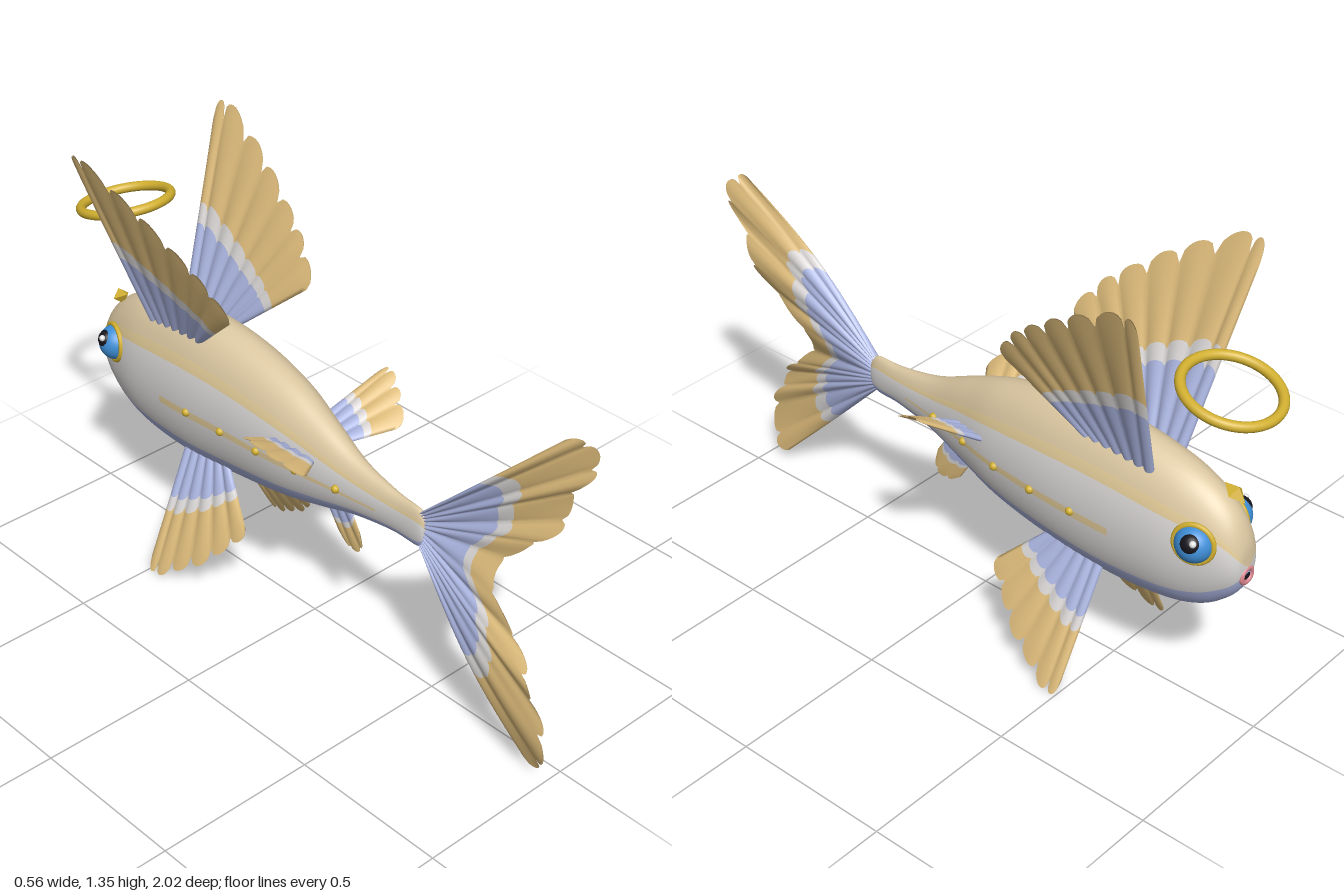
import * as THREE from 'three';

const mat = (name, color, side = THREE.FrontSide) => {
  const m = new THREE.MeshStandardMaterial({ color, side });
  m.name = name;
  return m;
};
const V = (x, y, z) => new THREE.Vector3(x, y, z);
const AXIS = 0.015; // the body's mirror plane lies slightly off x = 0

// Surface from rows of points; columns wrap round. pick(i, j) gives a material index.
function loft(rows, pick, materials) {
  const n = rows[0].length, lists = materials.map(() => []);
  for (let i = 0; i < rows.length - 1; i++) {
    for (let j = 0; j < n; j++) {
      const k = (j + 1) % n, a = i * n + j, b = i * n + k, c = b + n, d = a + n;
      lists[pick(i, j)].push(a, b, c, a, c, d);
    }
  }
  const geo = new THREE.BufferGeometry().setFromPoints(rows.flat());
  geo.setIndex(lists.flat());
  let start = 0;
  lists.forEach((l, m) => { geo.addGroup(start, l.length, m); start += l.length; });
  geo.computeVertexNormals();
  return new THREE.Mesh(geo, materials);
}

// Fan-shaped ribbed fin between a root edge and a scalloped tip line
function fin(name, root, tips, materials, { lobes, depth, bands, thick, bend = () => 0 }) {
  const tipLine = new THREE.CatmullRomCurve3(tips), cols = lobes * 8;
  const normal = root[1].clone().sub(root[0]).cross(tipLine.getPoint(0.5).sub(root[0])).normalize();
  const point = (c, k, side) => {
    const u = c / cols, f = (c % 8) / 8, [l, p] = bands(u);
    const r = k <= 4 ? l * k / 4 : k <= 6 ? l + (p - l) * (k - 4) / 2 : p + (1 - p) * (k - 6) / 6;
    const len = 1 - depth * (1 - Math.sqrt(1 - (2 * f - 1) ** 2));
    const q = root[0].clone().lerp(root[1], u);
    q.lerp(tipLine.getPoint(u), r * len);
    const edge = c === 0 || c === cols ? 0 : 1;
    const h = thick * edge * (0.25 + 0.75 * Math.sin(Math.PI * f)) * Math.sqrt(1 - r * r * 0.97);
    q.addScaledVector(normal, side * h);
    q.x += bend(u, r);
    return q;
  };
  const rows = [];
  for (let k = 0; k <= 12; k++) {
    const row = [];
    for (let c = 0; c <= cols; c++) row.push(point(c, k, 1));
    for (let c = cols - 1; c > 0; c--) row.push(point(c, k, -1));
    rows.push(row);
  }
  const mesh = loft(rows, (i) => (i < 4 ? 0 : i < 6 ? 1 : 2), materials);
  mesh.name = name;
  return mesh;
}

export function createModel() {
  const group = new THREE.Group();
  const cream = mat('cream back', 0xdcc8a2), pearl = mat('pearl', 0xdad7d6, THREE.DoubleSide);
  const lavender = mat('lavender', 0xabb5e0, THREE.DoubleSide);
  const sand = mat('sand fin', 0xdfbd7c, THREE.DoubleSide), pale = mat('pale gold', 0xe2cb98);
  const gold = mat('gold', 0xd2b030), blue = mat('eye blue', 0x3f8fd8);
  const black = mat('pupil black', 0x15151c), pink = mat('mouth pink', 0xe08a92), white = mat('white', 0xffffff);
  const finMats = [lavender, pearl, sand];

  const add = (name, geo, material, pos, parent = group) => {
    const m = new THREE.Mesh(geo, material);
    m.name = name;
    m.position.set(...pos);
    parent.add(m);
    return m;
  };

  // Body cross-sections: z, centre y, half height, centre x, half width
  const sections = [
    [-0.95, 0.54, 0.004, 0.012, 0.004], [-0.94, 0.548, 0.07, 0.012, 0.045], [-0.9, 0.558, 0.138, 0.013, 0.075],
    [-0.82, 0.56, 0.198, 0.015, 0.102], [-0.7, 0.565, 0.235, 0.015, 0.125], [-0.5, 0.575, 0.255, 0.015, 0.135],
    [-0.3, 0.58, 0.238, 0.015, 0.13], [-0.1, 0.574, 0.2, 0.008, 0.11], [0.05, 0.565, 0.15, -0.002, 0.08],
    [0.2, 0.555, 0.094, -0.01, 0.05], [0.35, 0.552, 0.066, -0.015, 0.03], [0.46, 0.55, 0.06, -0.02, 0.018],
    [0.48, 0.55, 0.004, -0.02, 0.002],
  ];
  const heights = new THREE.CatmullRomCurve3(sections.map((s) => V(s[1], s[2], s[0])), false, 'catmullrom');
  const widths = new THREE.CatmullRomCurve3(sections.map((s) => V(s[3], s[4], 0)), false, 'catmullrom');

  // Colour bands round the body: end angle, material index, steps
  const P = Math.PI, angles = [], colours = [];
  const bands = [
    [-0.16, 1, 6], [-0.06, 2, 1], [0.46, 1, 5], [0.62, 3, 2], [P - 0.62, 0, 16], [P - 0.46, 3, 2],
    [P + 0.06, 1, 5], [P + 0.16, 2, 1], [P + 0.67, 1, 6], [2 * P - 0.67, 4, 16],
  ];
  let from = -0.67;
  for (const [to, colour, steps] of bands) {
    for (let s = 0; s < steps; s++) {
      angles.push(from + (to - from) * s / steps);
      colours.push(colour);
    }
    from = to;
  }
  const rows = [];
  for (let i = 0; i <= 72; i++) {
    const h = heights.getPoint(i / 72), w = widths.getPoint(i / 72);
    rows.push(angles.map((a) => V(w.x + w.y * Math.cos(a), h.x + h.y * Math.sin(a), h.z)));
  }
  const body = loft(rows, (i, j) => {
    const z = rows[i][0].z;
    return colours[j] === 2 && (z < -0.6 || z > 0.28) ? 1 : colours[j];
  }, [cream, pearl, pale, pale, lavender]);
  body.name = 'body';
  group.add(body);

  // Paired fins, eyes and side studs
  for (const s of [1, -1]) {
    const side = s > 0 ? 'left' : 'right';
    const at = (list) => list.map(([x, y, z]) => V(AXIS + s * x, y, z));
    group.add(fin(side + 'WingFin', at([[0.07, 0.76, -0.675], [0.07, 0.775, -0.43]]),
      at([[0.275, 1.34, -0.75], [0.282, 1.355, -0.7], [0.262, 1.29, -0.56], [0.238, 1.22, -0.445],
        [0.21, 1.14, -0.335], [0.188, 1.075, -0.26], [0.155, 0.98, -0.19]]), finMats,
      { lobes: 7, depth: 0.09, thick: 0.012, bands: () => [0.4, 0.5] }));
    group.add(fin(side + 'BellyFin', at([[0.07, 0.385, -0.52], [0.065, 0.41, -0.33]]),
      at([[0.255, 0.005, -0.505], [0.258, 0.0, -0.46], [0.237, 0.045, -0.385], [0.21, 0.105, -0.295],
        [0.17, 0.185, -0.22], [0.142, 0.25, -0.16]]), finMats,
      { lobes: 6, depth: 0.1, thick: 0.01, bands: () => [0.42, 0.53] }));
    group.add(fin(side + 'SideFin', at([[0.085, 0.605, -0.09], [0.05, 0.595, 0.05]]),
      at([[0.275, 0.73, -0.02], [0.283, 0.74, 0.01], [0.265, 0.715, 0.055], [0.24, 0.685, 0.1],
        [0.195, 0.64, 0.155]]), finMats,
      { lobes: 4, depth: 0.12, thick: 0.009, bands: () => [0.38, 0.5] }));

    const eye = new THREE.Group();
    eye.name = side + 'Eye';
    eye.position.set(AXIS + s * 0.085, 0.612, -0.83);
    eye.lookAt(eye.position.clone().add(V(s, 0.1, -0.3)));
    add('eyeball', new THREE.SphereGeometry(0.056, 28, 20), blue, [0, 0, 0], eye);
    add('eyeRing', new THREE.TorusGeometry(0.057, 0.008, 10, 36), gold, [0, 0, 0.008], eye);
    add('pupil', new THREE.SphereGeometry(0.032, 20, 14), black, [0, 0.012, 0.03], eye).scale.z = 0.95;
    add('highlight', new THREE.SphereGeometry(0.01, 12, 8), white, [0.012, 0.026, 0.054], eye);
    group.add(eye);

    for (const [z, cx, rx] of [[0.16, -0.008, 0.06], [0.01, 0, 0.088], [-0.14, 0.01, 0.115],
      [-0.29, 0.015, 0.129], [-0.44, 0.015, 0.134]]) {
      add(side + 'Stud', new THREE.SphereGeometry(0.013, 12, 8), gold, [cx + s * rx, 0.555, z]);
    }
  }

  // Small fin under the rear of the body
  group.add(fin('analFin', [V(0.005, 0.45, 0.03), V(-0.005, 0.47, 0.15)],
    [V(0.005, 0.34, 0.1), V(0, 0.31, 0.16), V(0, 0.325, 0.2), V(-0.005, 0.39, 0.2)], finMats,
    { lobes: 3, depth: 0.08, thick: 0.007, bands: () => [0.45, 0.55] }));

  // Forked tail, swept sideways in a soft S
  const tailTips = [[1.07, 0.94], [1.06, 0.99], [0.98, 1.01], [0.87, 0.94], [0.76, 0.92], [0.66, 0.82], [0.55, 0.74],
    [0.44, 0.82], [0.35, 0.92], [0.28, 0.95], [0.18, 1.01], [0.06, 1.0], [0.015, 0.94]];
  group.add(fin('tailFin', [V(-0.02, 0.605, 0.455), V(-0.02, 0.495, 0.455)],
    tailTips.map(([y, z]) => V(-0.02, y, z)), finMats, {
      lobes: 13, depth: 0.05, thick: 0.009,
      bands: (u) => { const c = 1 - Math.abs(1 - 2 * u); return [0.47 + 0.15 * c, 0.57 + 0.15 * c]; },
      bend: (u, r) => {
        const a = 1 - 2 * u;
        return 0.07 * r * Math.sin(a * P * 0.8) - 0.03 * Math.sin(P * r) * a * a + 0.007 * r * Math.sin(a * 19);
      },
    }));

  // Mouth, forehead gem and halo
  add('lips', new THREE.TorusGeometry(0.022, 0.009, 10, 28), pink, [0.012, 0.512, -0.943]);
  add('mouth', new THREE.SphereGeometry(0.019, 16, 10), black, [0.012, 0.512, -0.94]).scale.z = 0.5;
  const gem = add('foreheadGem', new THREE.OctahedronGeometry(0.036), gold, [-0.012, 0.735, -0.872]);
  gem.scale.set(0.8, 0.7, 1.1);
  gem.rotation.x = -0.5;
  const halo = add('halo', new THREE.TorusGeometry(0.138, 0.015, 14, 56), gold, [0.013, 1.063, -0.856]);
  halo.rotation.x = P / 2 - 0.24;

  return group;
}
